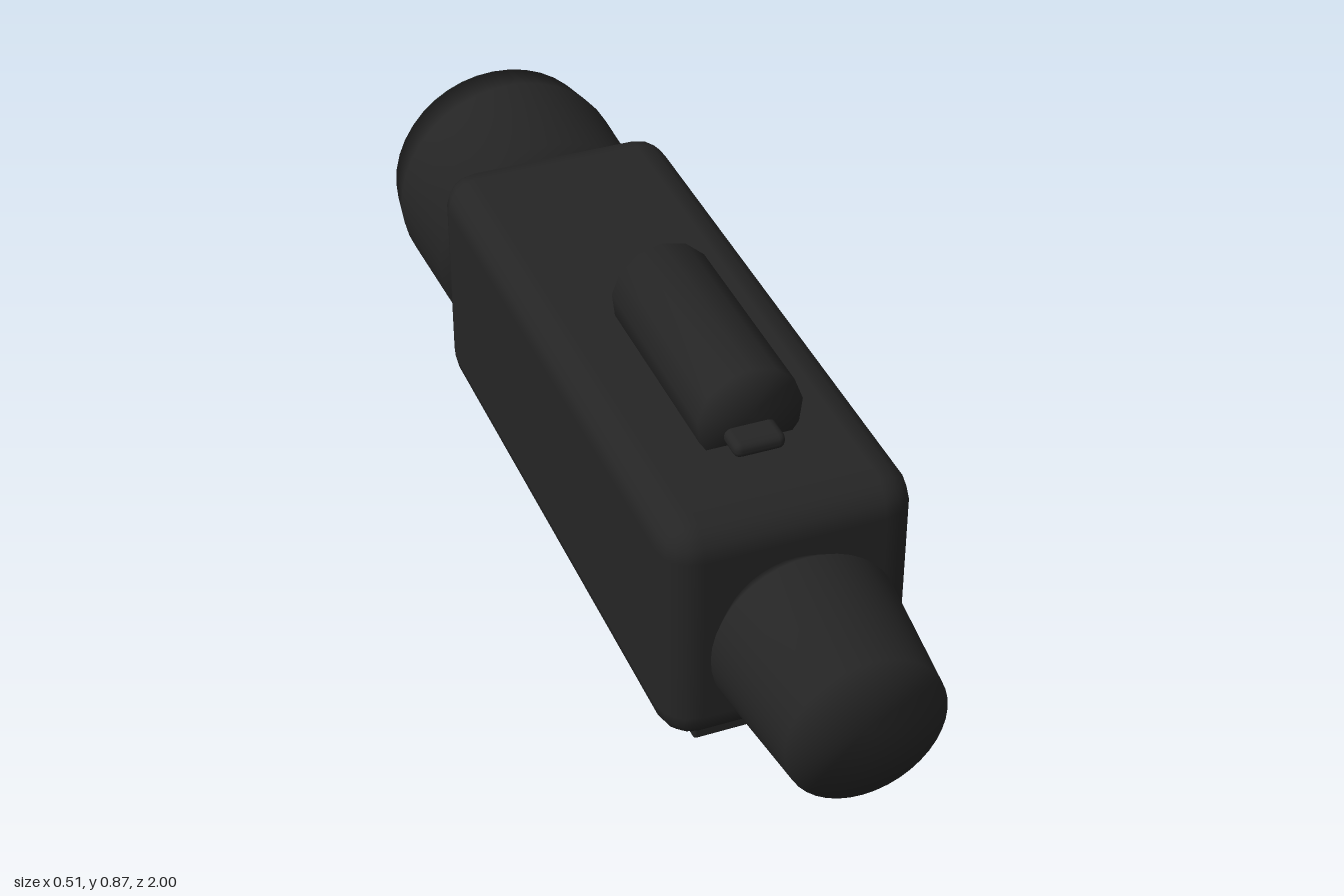
import * as THREE from 'three';
import { RoundedBoxGeometry } from 'three/addons/geometries/RoundedBoxGeometry.js';

export function createModel() {
  const group = new THREE.Group();
  const housing = new THREE.MeshStandardMaterial({ color: 0x252525 });
  housing.name = 'blackHousing';
  const glass = new THREE.MeshStandardMaterial({ color: 0x5a6b63 });
  glass.name = 'greenGlass';

  const add = (name, geometry, material = housing) => {
    const mesh = new THREE.Mesh(geometry, material);
    mesh.name = name;
    group.add(mesh);
    return mesh;
  };

  // Rounded block given by half width, height range and depth range
  const block = (name, hx, y0, y1, z0, z1, radius, segments = 2) => {
    const geometry = new RoundedBoxGeometry(hx * 2, y1 - y0, z1 - z0, segments, radius);
    geometry.translate(0, (y0 + y1) / 2, (z0 + z1) / 2);
    return add(name, geometry);
  };

  // Turned part along z, profile given as [radius, z] from back to front
  const turned = (name, profile, y, sides, material) => {
    const points = profile.map(([r, z]) => new THREE.Vector2(r, z));
    const geometry = new THREE.LatheGeometry(points, sides, Math.PI);
    geometry.rotateX(Math.PI / 2);
    geometry.translate(0, y, 0);
    return add(name, geometry, material);
  };

  // Main body
  block('body', 0.245, 0.205, 0.71, -0.63, 0.685, 0.07);

  // Eyepiece at the front
  turned('eyepiece', [[0, 0.67], [0.132, 0.67], [0.183, 0.735], [0.155, 1], [0, 1]], 0.46, 40);

  // Objective housing and its lens at the back
  turned('objectiveHousing',
    [[0, -0.985], [0.237, -0.985], [0.253, -0.89], [0.246, -0.636], [0, -0.636]], 0.46, 40);
  turned('objectiveLens', [[0, -1], [0.228, -1], [0.232, -0.98]], 0.46, 40, glass);
  // Neck that joins the objective to the body
  turned('objectiveNeck', [[0.18, -0.64], [0.18, -0.62]], 0.46, 32);

  // Battery tube on top with its small latch
  turned('batteryTube', [[0, 0.03], [0.104, 0.03], [0.104, 0.465], [0, 0.465]], 0.765, 13);
  block('tubeLatch', 0.051, 0.714, 0.747, 0.44, 0.52, 0.015);

  // Mount: clamp block over a rail foot
  block('mountClamp', 0.132, 0.107, 0.23, -0.28, 0.425, 0.008, 1);
  block('mountFoot', 0.104, 0, 0.107, -0.32, 0.465, 0.008, 1);

  return group;
}
